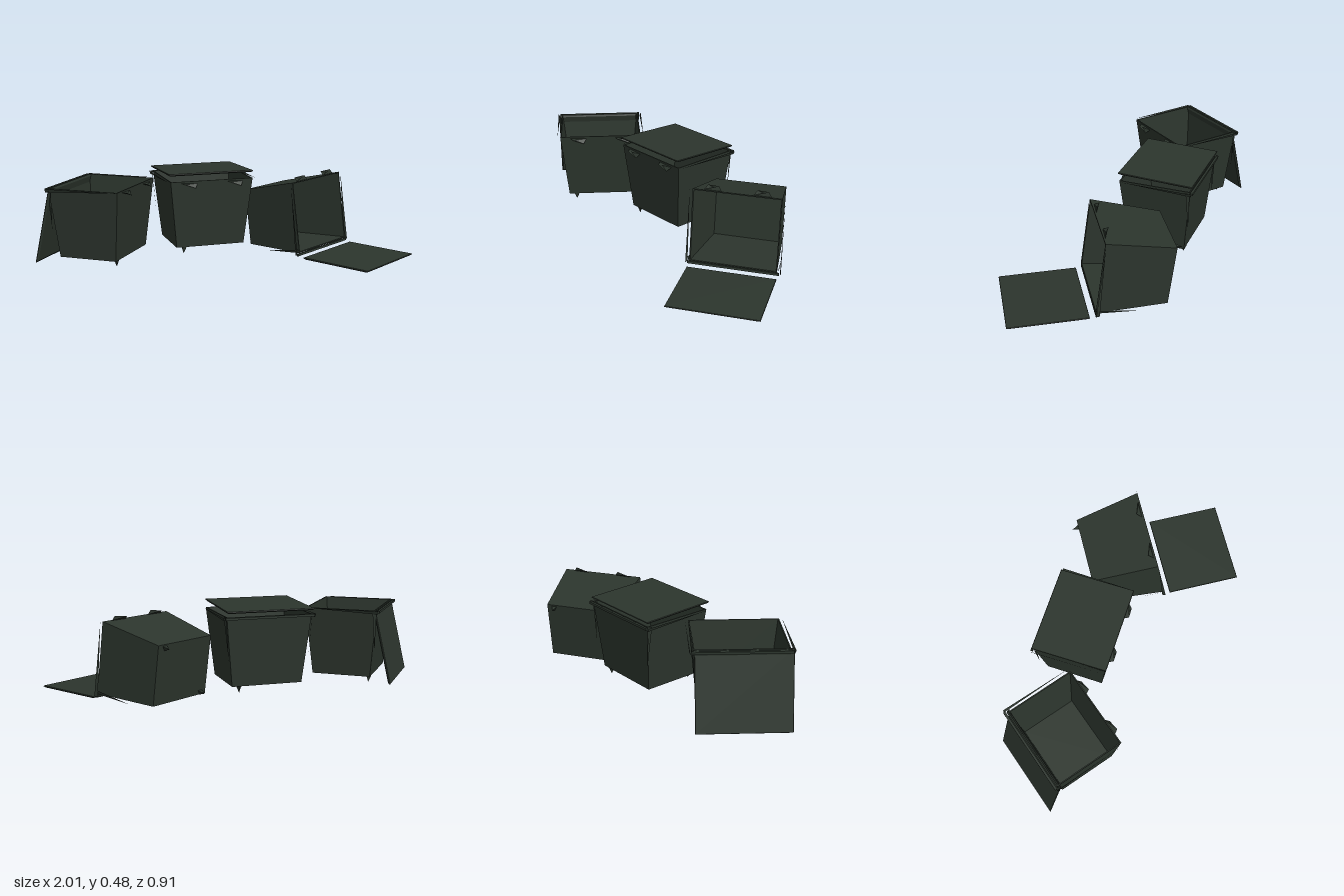
import * as THREE from 'three';

const green = new THREE.MeshStandardMaterial({ color: 0x2c352d, side: THREE.DoubleSide, flatShading: true });
green.name = 'dark green plastic';

function add(parent, geometry, name, x = 0, y = 0, z = 0) {
  const mesh = new THREE.Mesh(geometry, green);
  mesh.name = name;
  mesh.position.set(x, y, z);
  parent.add(mesh);
  return mesh;
}

// Open tapered shell lofted through rectangles [half width, y, half depth]
function shellGeometry(sections) {
  const points = [], faces = [];
  for (const [w, y, d] of sections) points.push(-w, y, d, w, y, d, w, y, -d, -w, y, -d);
  for (let s = 0; s < sections.length - 1; s++) {
    for (let i = 0; i < 4; i++) {
      const a = s * 4 + i, b = s * 4 + (i + 1) % 4;
      faces.push(a, b, b + 4, a, b + 4, a + 4);
    }
  }
  const n = (sections.length - 1) * 4;
  faces.push(0, 2, 1, 0, 3, 2, n, n + 1, n + 2, n, n + 2, n + 3);
  const g = new THREE.BufferGeometry();
  g.setAttribute('position', new THREE.Float32BufferAttribute(points, 3));
  g.setIndex(faces);
  const flat = g.toNonIndexed();
  flat.computeVertexNormals();
  return flat;
}

function triangle(...corners) {
  const g = new THREE.BufferGeometry();
  g.setAttribute('position', new THREE.Float32BufferAttribute(corners, 3));
  g.computeVertexNormals();
  return g;
}

const H = 0.36;

function crate(name) {
  const g = new THREE.Group();
  g.name = name;
  // Tapered body with a thin wall and an inner floor
  add(g, shellGeometry([
    [0.187, 0, 0.155], [0.225, H, 0.19], [0.219, H, 0.184], [0.182, 0.008, 0.15],
  ]), 'body');
  // Thin lips around the rim
  add(g, new THREE.BoxGeometry(0.47, 0.012, 0.012), 'backRim', 0, H - 0.006, -0.2);
  for (const s of [-1, 1]) {
    add(g, triangle(s * 0.245, H, -0.2, s * 0.24, H, 0.19, s * 0.238, H - 0.018, -0.2), 'sideRim');
    // Upright sliver beside each back corner
    add(g, triangle(s * 0.235, H, -0.17, s * 0.228, H, -0.19, s * 0.213, 0.14, -0.182), 'cornerRib');
    // Pointed latch tabs on the front
    const latch = new THREE.Group();
    latch.name = 'latch';
    latch.position.set(s * 0.125, H, 0.19);
    g.add(latch);
    add(latch, triangle(-0.045, -0.008, 0, 0.045, -0.012, 0, 0.03, -0.035, 0.02), 'latchFace');
    add(latch, triangle(-0.045, -0.008, 0, 0.03, -0.035, 0.02, -0.03, -0.012, 0.024), 'latchSide');
    add(latch, triangle(-0.045, -0.008, 0, -0.03, -0.012, 0.024, 0.045, -0.012, 0), 'latchTop');
    // Small pointed feet on opposite corners
    const foot = add(g, new THREE.ConeGeometry(0.016, 0.035, 3), 'foot', s * 0.145, -0.019, -s * 0.14);
    foot.rotation.x = Math.PI;
  }
  return g;
}

function lid(name) {
  const g = new THREE.Group();
  g.name = name;
  add(g, shellGeometry([[0.222, -0.005, 0.19], [0.23, 0.002, 0.2], [0.228, 0.006, 0.198]]), 'lidPanel');
  return g;
}

function place(object, x, y, z, turn, tip = 0) {
  object.position.set(x, y, z);
  object.rotation.set(tip, turn, 0, 'YXZ');
  return object;
}

export function createModel() {
  const model = new THREE.Group();
  model.name = 'threeCrates';
  model.add(
    // Open crate with its lid leaning on the back
    place(crate('openCrate'), -0.655, 0.075, 0, 1.035),
    place(lid('leaningLid'), -0.85, 0.242, -0.103, 1.035, -1.345),
    // Closed crate with a loose lid
    place(crate('closedCrate'), -0.105, 0.075, -0.15, 0.11),
    place(lid('looseLid'), -0.11, 0.465, -0.15, 0.11, -0.035),
    // Crate tipped over, its lid on the ground in front
    place(crate('tippedCrate'), 0.315, 0.172, -0.325, 0.67 + Math.PI, -(Math.PI / 2 - 0.14)),
    place(lid('fallenLid'), 0.695, 0.007, 0.155, 0.67, 0.008),
  );
  return model;
}
